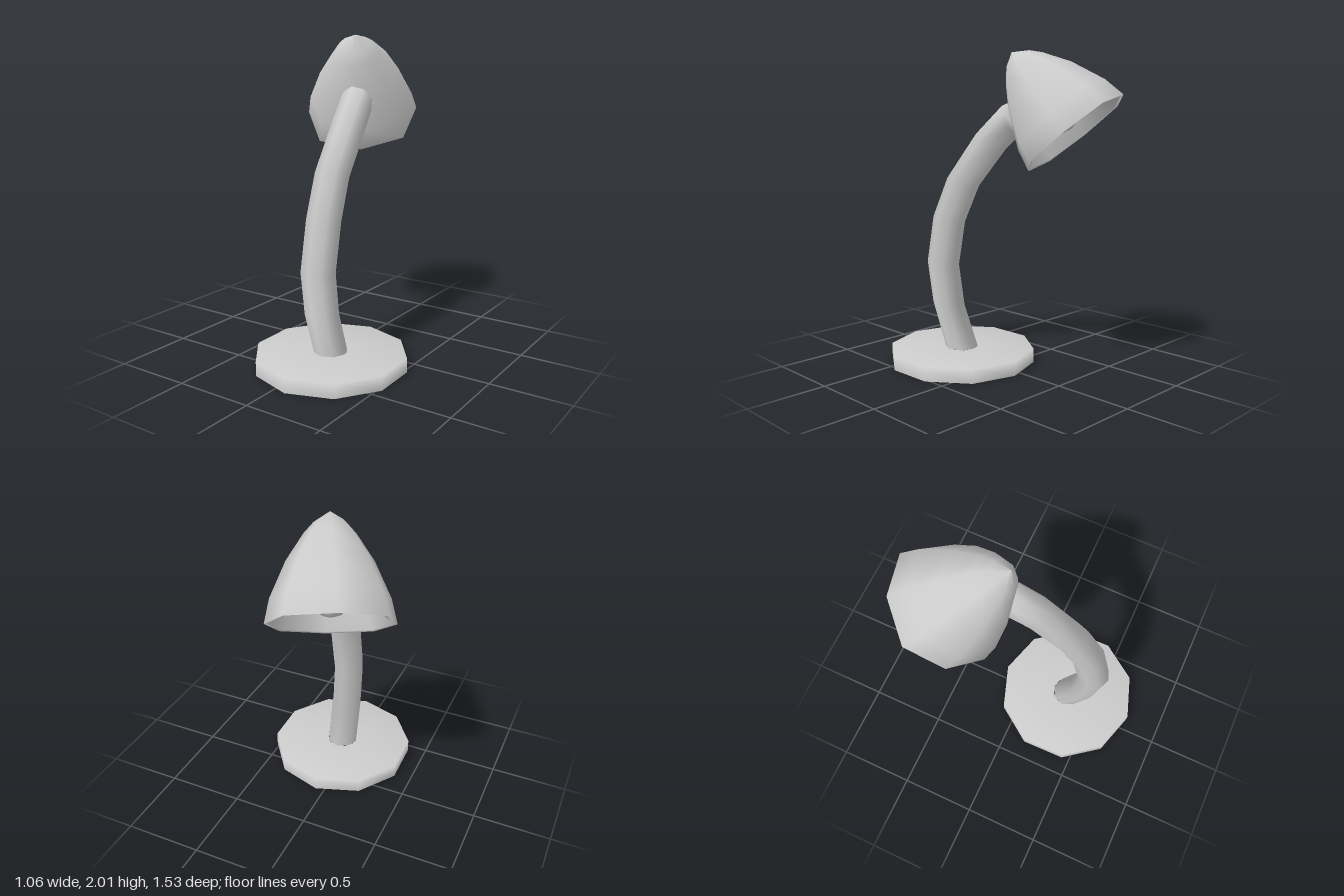
import * as THREE from 'three';

const V = (x, y, z) => new THREE.Vector3(x, y, z);
const material = new THREE.MeshStandardMaterial({ color: 0xcccccc, side: THREE.DoubleSide });

function part(name, geometry, parent) {
  const mesh = new THREE.Mesh(geometry, material);
  mesh.name = name;
  parent.add(mesh);
  return mesh;
}

const lathe = (points, sides) =>
  new THREE.LatheGeometry(points.map(([r, y]) => new THREE.Vector2(r, y)), sides);

export function createModel() {
  const lamp = new THREE.Group();
  lamp.name = 'deskLamp';

  // Ten-sided foot: a hollow shell, open below and where the neck joins
  const base = part('base', lathe([[0.478, 0], [0.478, 0.09], [0.1, 0.09]], 10), lamp);
  base.position.set(0.07, 0, 0.288);
  base.rotation.y = 0.02;

  // Bent neck: one ring per path point, each ring leaning back by its own angle
  const lean = [0, 0.14, 0.14, 0.2, 0.31, 0.57, 1.1];
  const path = new THREE.CatmullRomCurve3([
    V(0.07, 0.09, 0.291), V(0.085, 0.365, 0.4), V(0.092, 0.635, 0.445), V(0.09, 0.94, 0.383),
    V(0.07, 1.19, 0.267), V(0.037, 1.455, 0.045), V(0, 1.6, -0.11),
  ]);
  path.getPointAt = path.getPoint;
  path.getTangentAt = (t) => {
    const a = lean[Math.round(t * 6)];
    return V(-0.15 * Math.sin(a), Math.cos(a), -Math.sin(a)).normalize();
  };
  part('neck', new THREE.TubeGeometry(path, 6, 0.105, 8), lamp);

  // Low dome closing the upper end of the neck
  const dome = new THREE.SphereGeometry(0.105, 8, 3, 0, Math.PI * 2, 0, Math.PI / 2);
  const cap = part('neckCap', dome.scale(1, 0.35, 1), lamp);
  cap.position.copy(path.getPoint(1));
  cap.quaternion.setFromUnitVectors(V(0, 1, 0), path.getTangentAt(1));

  // Head group: its y axis runs from the opening to the crown, its z axis to a rim corner
  const head = new THREE.Group();
  head.name = 'head';
  const up = V(0.27, 0.77, 0.575).normalize();
  const corner = V(-0.35, 0.16, -0.05);
  corner.addScaledVector(up, -corner.dot(up)).normalize();
  head.quaternion.setFromRotationMatrix(
    new THREE.Matrix4().makeBasis(up.clone().cross(corner), up, corner));
  head.position.set(-0.18, 1.51, -0.45);
  lamp.add(head);

  // Eight-sided shade: inner wall down to the lip, then the outer wall up to the crown
  const shade = lathe([
    [0, 0.59], [0.12, 0.475], [0.225, 0.335], [0.322, 0.13], [0.358, 0.005], [0.388, 0],
    [0.352, 0.14], [0.252, 0.35], [0.148, 0.505], [0.092, 0.568], [0, 0.63],
  ], 8);
  // Every second corner sits closer to the axis, most of all at the rim
  const p = shade.attributes.position;
  for (let i = 0; i < p.count; i++) {
    const eighth = Math.round(Math.atan2(p.getX(i), p.getZ(i)) / (Math.PI / 4));
    const s = eighth % 2 ? 0.94 + 0.1 * p.getY(i) : 1;
    p.setXYZ(i, p.getX(i) * s, p.getY(i), p.getZ(i) * s);
  }
  part('shade', shade, head);

  // Bulb just inside the opening
  const bulb = part('bulb', new THREE.SphereGeometry(0.115, 8, 6), head);
  bulb.position.y = 0.15;

  return lamp;
}
